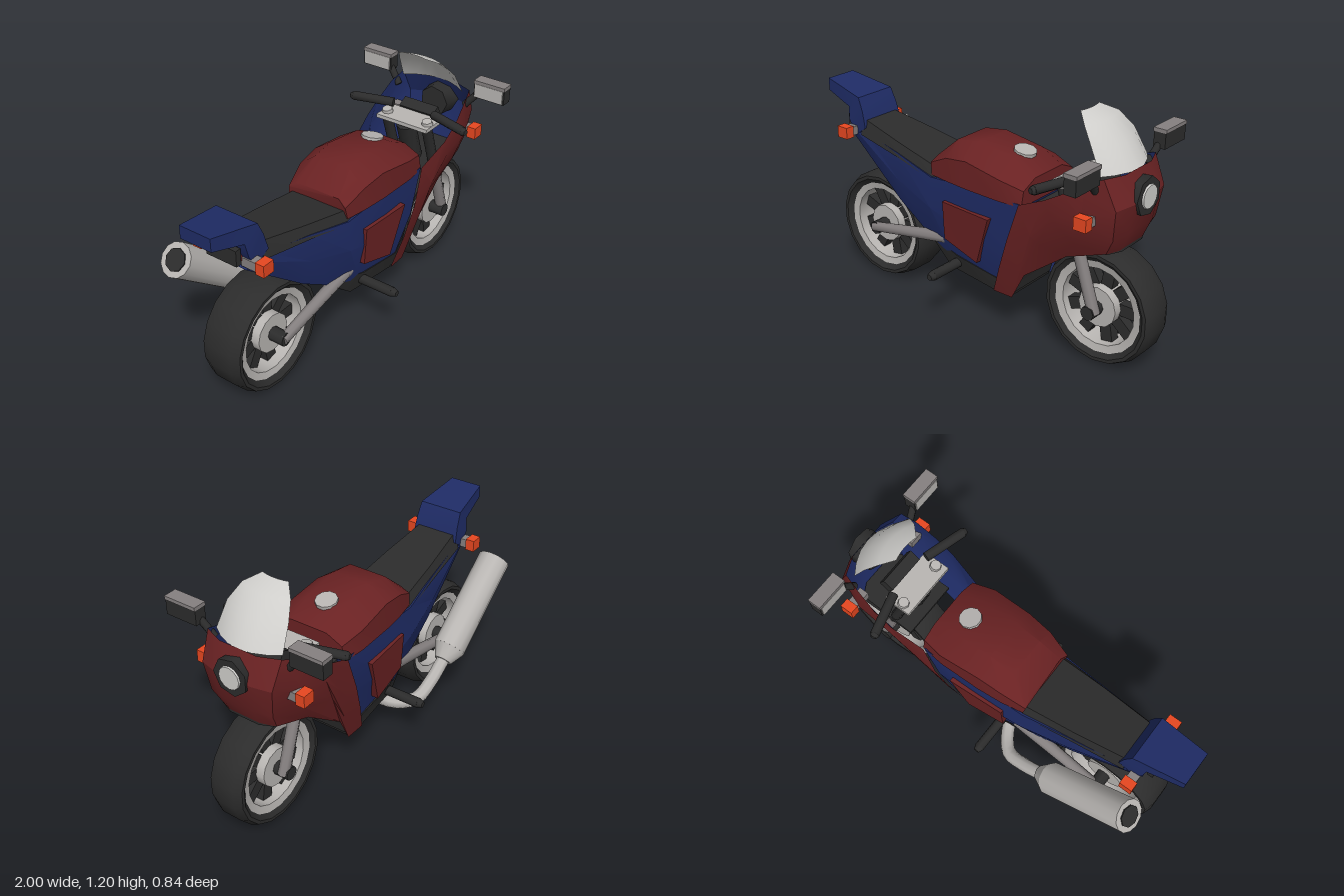
import * as THREE from 'three';
import { toCreasedNormals } from 'three/addons/utils/BufferGeometryUtils.js';

const mat = (name, color, side = THREE.FrontSide) => {
  const m = new THREE.MeshStandardMaterial({ color, side });
  m.name = name;
  return m;
};
const V = (x, y, z) => new THREE.Vector3(x, y, z);

export function createModel() {
  const red = mat('dark red paint', 0x6a2223);
  const blue = mat('navy paint', 0x1f2c66);
  const blueInside = mat('navy lining', 0x1f2c66, THREE.BackSide);
  const black = mat('black rubber', 0x2c2c2c);
  const silver = mat('silver metal', 0xb9b6b3);
  const grey = mat('grey metal', 0x858080);
  const glass = mat('windscreen grey', 0xcfcecb, THREE.DoubleSide);
  const orange = mat('orange lamp', 0xf04a22);

  const bike = new THREE.Group();
  bike.name = 'motorcycle';
  const add = (name, geo, material, parent = bike) => {
    const mesh = new THREE.Mesh(geo, material);
    mesh.name = name;
    parent.add(mesh);
    return mesh;
  };
  const box = (name, size, pos, material, parent) => {
    const m = add(name, new THREE.BoxGeometry(...size), material, parent);
    m.position.set(...pos);
    return m;
  };
  // Round bar from a to b
  const bar = (name, a, b, r0, r1, material, sides = 8, parent = bike) => {
    const d = b.clone().sub(a);
    const g = toCreasedNormals(new THREE.CylinderGeometry(r1, r0, d.length(), sides), 0.9);
    const m = add(name, g, material, parent);
    m.position.copy(a).addScaledVector(d, 0.5);
    m.quaternion.setFromUnitVectors(V(0, 1, 0), d.normalize());
    return m;
  };
  // Skin over rings of points; closed rings get end caps
  const loft = (rings, closed = true, crease = 0.5) => {
    const n = rings[0].length, idx = [];
    for (let i = 0; i < rings.length - 1; i++)
      for (let j = 0; j < (closed ? n : n - 1); j++) {
        const k = (j + 1) % n, a = i * n, b = a + n;
        idx.push(a + j, a + k, b + k, a + j, b + k, b + j);
      }
    const e = (rings.length - 1) * n;
    if (closed) for (let j = 1; j < n - 1; j++) idx.push(0, j + 1, j, e, e + j, e + j + 1);
    const g = new THREE.BufferGeometry();
    g.setAttribute('position', new THREE.Float32BufferAttribute(rings.flat(2), 3));
    g.setIndex(idx);
    return toCreasedNormals(g, crease);
  };
  const flip = ([x, y, z]) => [x, y, -z];
  // Body symmetric about z = 0, from half sections listed top to bottom
  const body = (name, halves, material, crease) =>
    add(name, loft(halves.map(h => [...h, ...h.map(flip).reverse()]), true, crease), material);

  // Wheels
  const lathe = (pts, seg) => toCreasedNormals(
    new THREE.LatheGeometry(pts.map(p => new THREE.Vector2(...p)), seg).rotateX(Math.PI / 2), 0.6);
  const wheel = (name, x, w) => {
    const g = new THREE.Group();
    g.name = name;
    g.position.set(x, 0.288, 0);
    bike.add(g);
    add('tyre', lathe([[0.225, -w * 0.75], [0.255, -w], [0.272, -w], [0.289, -w * 0.55],
      [0.289, w * 0.55], [0.272, w], [0.255, w], [0.225, w * 0.75], [0.225, -w * 0.75]], 18), black, g);
    const r = w * 0.72;
    add('rim', lathe([[0.195, -r], [0.232, -r - 0.008], [0.232, r + 0.008], [0.195, r], [0.195, -r]], 18), silver, g);
    for (let i = 0; i < 9; i++) {
      const a = i / 9 * Math.PI * 2;
      const s = box('spoke', [0.13, 0.06, 0.05], [Math.cos(a) * 0.145, Math.sin(a) * 0.145, 0], black, g);
      s.rotation.z = a;
    }
    bar('hub', V(0, 0, -0.07), V(0, 0, 0.07), 0.1, 0.1, silver, 12, g);
    bar('axle', V(0, 0, -0.15), V(0, 0, 0.15), 0.035, 0.035, black, 8, g);
  };
  wheel('rearWheel', -0.635, 0.107);
  wheel('frontWheel', 0.711, 0.09);

  // Main body, belly, tail, seat and tank
  body('sideBody', [
    [[-0.71, 0.8, 0.12], [-0.76, 0.78, 0.12], [-0.82, 0.765, 0.1]],
    [[-0.45, 0.76, 0.15], [-0.45, 0.62, 0.155], [-0.47, 0.49, 0.12]],
    [[-0.2, 0.71, 0.18], [-0.2, 0.55, 0.19], [-0.26, 0.36, 0.13]],
    [[0.1, 0.74, 0.2], [0.05, 0.5, 0.205], [-0.08, 0.3, 0.15]],
    [[0.36, 0.74, 0.205], [0.29, 0.5, 0.2], [0.2, 0.26, 0.16]]], blue, 0.3);
  body('belly', [
    [[-0.28, 0.38, 0.125], [-0.28, 0.36, 0.11]],
    [[-0.05, 0.33, 0.165], [-0.12, 0.235, 0.13]],
    [[0.21, 0.3, 0.172], [0.18, 0.22, 0.155]],
    [[0.33, 0.38, 0.15], [0.28, 0.22, 0.14]]], black);
  body('engineCore', [
    [[0.2, 0.7, 0.14], [0.2, 0.24, 0.14]],
    [[0.4, 0.7, 0.14], [0.29, 0.24, 0.14]]], black);
  body('sidePanels', [
    [[-0.1, 0.62, 0.21], [-0.1, 0.42, 0.198]],
    [[0.195, 0.62, 0.228], [0.11, 0.36, 0.205]]], red, 0.1);
  body('tail', [
    [[-1, 1.015, 0.085], [-1, 0.95, 0.085]],
    [[-0.75, 0.97, 0.115], [-0.83, 0.905, 0.11]],
    [[-0.72, 0.9, 0.12], [-0.82, 0.84, 0.12]],
    [[-0.7, 0.82, 0.125], [-0.78, 0.765, 0.115]]], blue);
  body('seat', [
    [[-0.73, 0.86, 0.1], [-0.73, 0.78, 0.128]],
    [[-0.45, 0.805, 0.13], [-0.45, 0.74, 0.155]],
    [[-0.17, 0.75, 0.15], [-0.17, 0.69, 0.182]]], black);
  body('fuelTank', [
    [[-0.2, 0.81, 0.12], [-0.21, 0.78, 0.165], [-0.2, 0.72, 0.172]],
    [[-0.09, 0.91, 0.1], [-0.09, 0.84, 0.19], [-0.09, 0.725, 0.195]],
    [[0.04, 0.93, 0.1], [0.04, 0.86, 0.2], [0.04, 0.725, 0.207]],
    [[0.25, 0.9, 0.1], [0.25, 0.83, 0.21], [0.25, 0.725, 0.212]],
    [[0.37, 0.84, 0.1], [0.37, 0.8, 0.185], [0.37, 0.725, 0.2]]], red, 0.7);
  bar('fuelCap', V(0.23, 0.89, 0), V(0.235, 0.913, 0), 0.055, 0.055, silver, 10);

  // Front fairing: columns run top to bottom, wrapping round the nose
  const half = [
    [[0.36, 0.74, 0.21], [0.3, 0.55, 0.215], [0.24, 0.38, 0.195], [0.18, 0.22, 0.162]],
    [[0.52, 0.82, 0.235], [0.44, 0.62, 0.225], [0.36, 0.4, 0.19], [0.29, 0.22, 0.16]],
    [[0.62, 0.88, 0.235], [0.56, 0.75, 0.24], [0.47, 0.58, 0.205], [0.37, 0.37, 0.17]],
    [[0.72, 0.95, 0.22], [0.72, 0.8, 0.24], [0.66, 0.65, 0.205], [0.6, 0.545, 0.165]],
    [[0.8, 0.985, 0.2], [0.86, 0.85, 0.19], [0.84, 0.7, 0.17], [0.8, 0.62, 0.155]],
    [[0.84, 0.985, 0.1], [0.89, 0.86, 0.1], [0.87, 0.72, 0.09], [0.83, 0.62, 0.08]]];
  const shell = loft([...half, ...half.map(c => c.map(flip)).reverse()], false, 0.5);
  add('frontFairing', shell, red);
  add('fairingLining', shell, blueInside);
  body('noseUnderside', [
    [[0.5, 0.63, 0.15], [0.5, 0.615, 0.15]],
    [[0.8, 0.65, 0.145], [0.8, 0.615, 0.15]],
    [[0.836, 0.65, 0.08], [0.832, 0.615, 0.08]]], black);

  // Windscreen: curved sheet, columns across z
  const rows = [[0.59, 1.2, 0.07], [0.68, 1.165, 0.13], [0.765, 1.095, 0.165], [0.84, 0.98, 0.18]];
  add('windscreen', loft([1, 0.7, 0.35, 0, -0.35, -0.7, -1].map(f =>
    rows.map(([x, y, w]) => [x - 2.2 * (f * w) ** 2, y, f * w])), false, 1), glass);

  // Headlight
  bar('headlightHousing', V(0.79, 0.87, 0), V(0.9, 0.87, 0), 0.08, 0.092, black, 7);
  bar('headlightLens', V(0.89, 0.87, 0), V(0.908, 0.87, 0), 0.06, 0.055, glass, 12);

  // Steering
  box('yoke', [0.14, 0.02, 0.3], [0.555, 0.865, 0], silver);
  box('instruments', [0.06, 0.07, 0.2], [0.66, 0.87, 0], black).rotation.z = 0.5;
  bar('steeringStem', V(0.53, 0.85, 0), V(0.62, 0.58, 0), 0.05, 0.05, black);

  // Paired parts on both sides
  for (const s of [1, -1]) {
    bar('upperFork', V(0.535, 0.86, 0.12 * s), V(0.63, 0.58, 0.12 * s), 0.027, 0.027, black);
    bar('lowerFork', V(0.627, 0.59, 0.12 * s), V(0.73, 0.28, 0.12 * s), 0.029, 0.029, grey);
    bar('forkCap', V(0.54, 0.87, 0.12 * s), V(0.535, 0.895, 0.12 * s), 0.03, 0.026, silver);
    bar('handlebar', V(0.595, 0.905, 0.12 * s), V(0.535, 0.905, 0.33 * s), 0.023, 0.023, black);
    bar('gripEnd', V(0.535, 0.905, 0.328 * s), V(0.531, 0.905, 0.346 * s), 0.023, 0.014, black);
    bar('mirrorStalk', V(0.76, 0.92, 0.2 * s), V(0.78, 1.01, 0.275 * s), 0.018, 0.018, black);
    box('mirrorShell', [0.06, 0.08, 0.17], [0.785, 1.022, 0.336 * s], black);
    box('mirrorCap', [0.068, 0.018, 0.172], [0.785, 1.066, 0.336 * s], grey);
    box('mirrorGlass', [0.008, 0.07, 0.155], [0.753, 1.022, 0.336 * s], silver);
    for (const [x, z] of [[0.752, 0.25], [-0.79, 0.155]]) {
      box('indicatorStem', [0.05, 0.045, 0.09], [x, 0.795, (z - 0.04) * s], grey);
      box('indicator', [0.065, 0.06, 0.047], [x, 0.797, (z + 0.022) * s], orange);
    }
    bar('footPeg', V(-0.055, 0.287, 0.12 * s), V(-0.055, 0.287, 0.335 * s), 0.025, 0.025, black);
    bar('footPegEnd', V(-0.055, 0.287, 0.334 * s), V(-0.055, 0.287, 0.36 * s), 0.025, 0.015, black);
    bar('swingArm', V(-0.65, 0.29, 0.14 * s), V(-0.14, 0.39, 0.13 * s), 0.026, 0.034, grey);
  }

  // Tail lamp
  box('tailLamp', [0.12, 0.07, 0.15], [-0.79, 0.835, 0], red);
  box('lampBracket', [0.03, 0.08, 0.17], [-0.845, 0.835, 0], black);

  // Exhaust on the right-hand side of travel
  const end = V(-0.872, 0.692, -0.265), mid = V(-0.45, 0.365, -0.265), front = V(-0.39, 0.32, -0.265);
  bar('muffler', end, mid, 0.083, 0.083, silver, 12);
  bar('mufflerCone', mid, front, 0.083, 0.045, silver, 12);
  const out = end.clone().sub(mid).normalize();
  bar('mufflerOutlet', end, end.clone().addScaledVector(out, 0.006), 0.055, 0.055, black, 8);
  const path = new THREE.CatmullRomCurve3([front, V(-0.28, 0.255, -0.265), V(-0.18, 0.205, -0.25),
    V(-0.12, 0.19, -0.19), V(-0.08, 0.2, -0.12), V(-0.04, 0.25, -0.06)]);
  add('exhaustPipe', new THREE.TubeGeometry(path, 14, 0.035, 8), silver);

  return bike;
}
